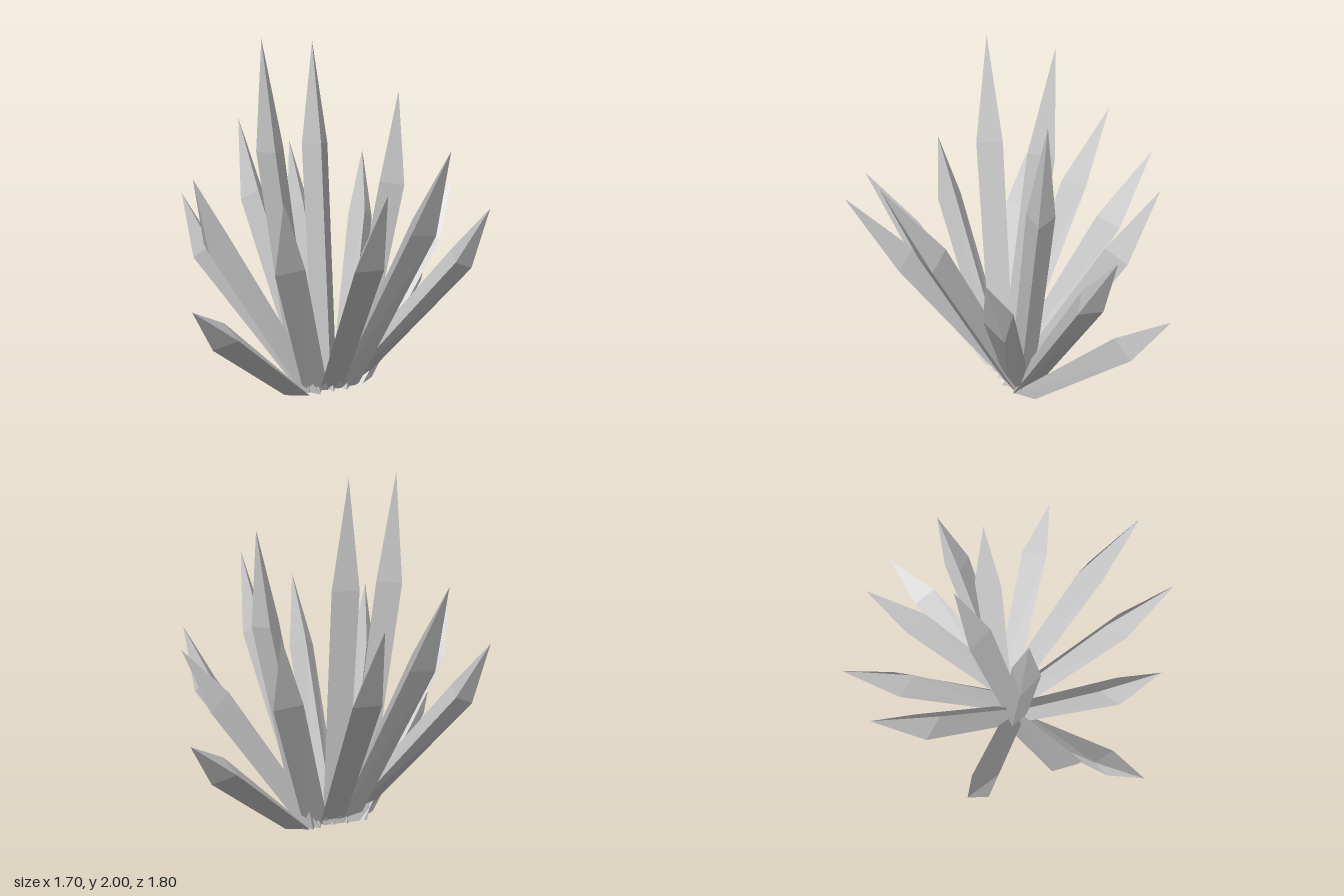
import * as THREE from 'three';

const material = new THREE.MeshStandardMaterial({ color: 0xcccccc, flatShading: true });
const UP = new THREE.Vector3(0, 1, 0);

// Three points around a centre; angles run from +x towards +z, tilted by a quaternion
function triangle(centre, radius, degrees, tilt) {
  return [0, 1, 2].map((i) => {
    const a = THREE.MathUtils.degToRad(degrees + i * 120);
    return new THREE.Vector3(Math.cos(a) * radius, 0, Math.sin(a) * radius)
      .applyQuaternion(tilt).add(centre);
  });
}

// Three-sided leaf: flat foot, straight shaft up to the shoulder, pointed tip
function makeLeaf({ base, shoulder, tip, twist }) {
  const foot = new THREE.Vector3(base[0], 0.005, base[1]);
  const neck = new THREE.Vector3(...shoulder);
  const point = new THREE.Vector3(...tip);
  const tilt = new THREE.Quaternion().setFromUnitVectors(UP, neck.clone().sub(foot).normalize());
  const a = triangle(foot, 0.082, twist, new THREE.Quaternion());
  const b = triangle(neck, 0.088, twist, tilt);

  const corners = [a[0], a[1], a[2]];
  for (let i = 0; i < 3; i++) {
    const j = (i + 1) % 3;
    corners.push(a[j], a[i], b[i], a[j], b[i], b[j], b[j], b[i], point);
  }
  const geometry = new THREE.BufferGeometry().setFromPoints(corners);
  geometry.computeVertexNormals();
  return new THREE.Mesh(geometry, material);
}

// Outer leaves, each repeated after a half turn about the vertical axis
const pairedLeaves = [
  { base: [0.09, 0], shoulder: [0.31, 1.06, 0.55], tip: [0.35, 1.5, 0.8], twist: 22 },
  { base: [0, 0], shoulder: [0, 0.93, 0.63], tip: [0, 1.33, 0.9], twist: 30 },
  { base: [-0.09, 0], shoulder: [-0.36, 0.91, 0.49], tip: [-0.43, 1.28, 0.69], twist: 38 },
  { base: [0.2, -0.03], shoulder: [0.67, 0.53, -0.39], tip: [0.85, 0.74, -0.54], twist: -11 },
  { base: [0.11, -0.02], shoulder: [0.65, 0.81, 0.32], tip: [0.76, 1.12, 0.44], twist: 11 },
];

// Leaves that stand alone: two at the sides, three tall ones in the middle
const singleLeaves = [
  { base: [-0.14, 0], shoulder: [-0.67, 0.95, 0.11], tip: [-0.77, 1.31, 0.15], twist: 0 },
  { base: [0.14, -0.02], shoulder: [0.67, 0.83, -0.15], tip: [0.84, 1.14, -0.21], twist: 180 },
  { base: [-0.14, -0.02], shoulder: [-0.32, 1.41, -0.02], tip: [-0.365, 2, -0.02], twist: 90 },
  { base: [-0.01, -0.02], shoulder: [-0.015, 1.41, -0.2], tip: [-0.02, 1.98, -0.27], twist: 90 },
  { base: [0.13, -0.02], shoulder: [0.36, 1.2, -0.02], tip: [0.41, 1.71, -0.03], twist: 30 },
];

export function createModel() {
  const plant = new THREE.Group();
  plant.name = 'spikyPlant';
  pairedLeaves.forEach((leaf, i) => {
    for (const turn of [0, 1]) {
      const mesh = makeLeaf(leaf);
      mesh.rotation.y = turn * Math.PI;
      mesh.name = `outerLeaf${i + 1}${turn ? 'Opposite' : ''}`;
      plant.add(mesh);
    }
  });
  singleLeaves.forEach((leaf, i) => {
    const mesh = makeLeaf(leaf);
    mesh.name = i < 2 ? `sideLeaf${i + 1}` : `innerLeaf${i - 1}`;
    plant.add(mesh);
  });
  return plant;
}
